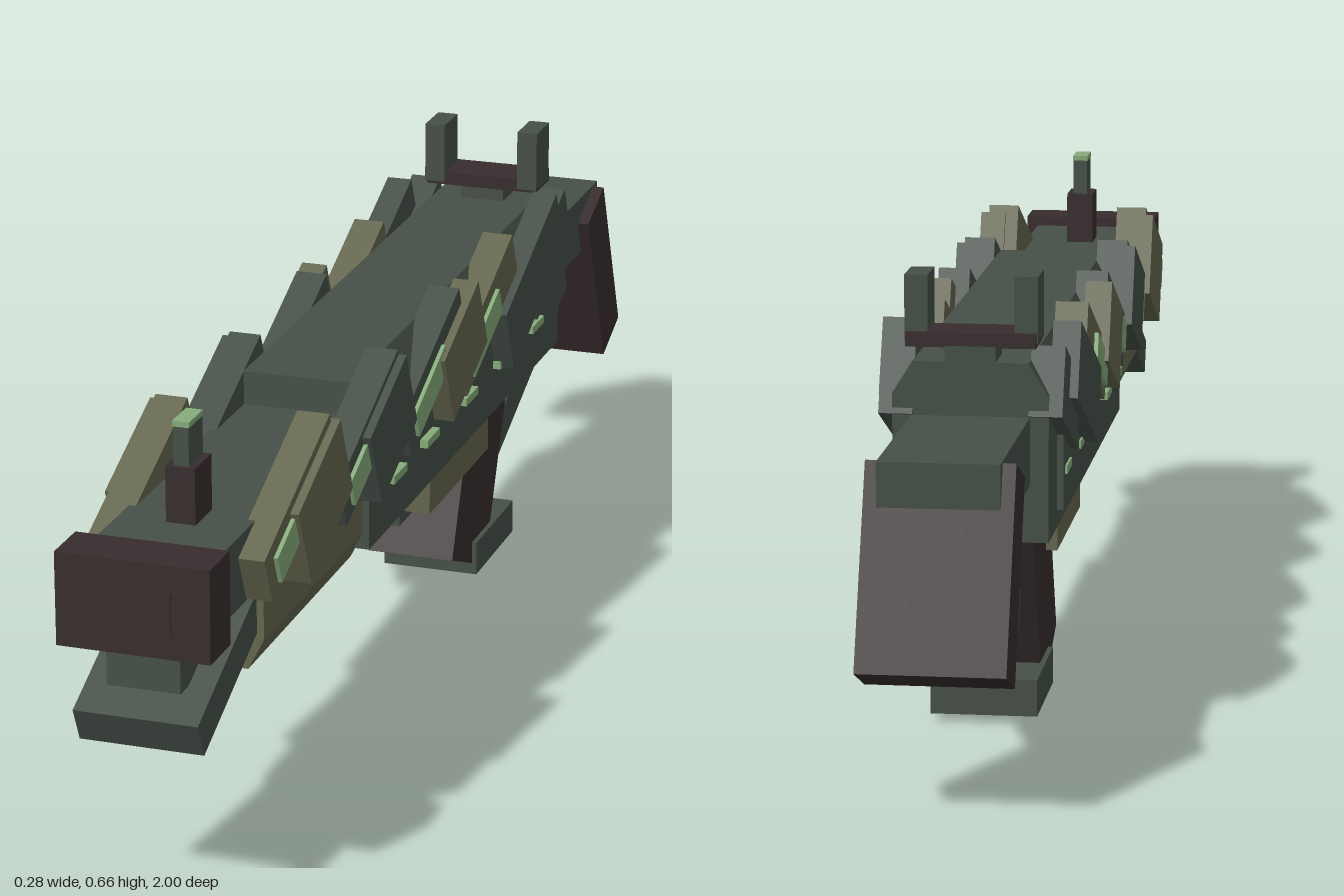
import * as THREE from 'three';

export function createModel() {
  const root = new THREE.Group();
  const mat = (name, color) => {
    const m = new THREE.MeshStandardMaterial({ color });
    m.name = name;
    return m;
  };
  const green = mat('darkGreen', 0x465048);
  const olive = mat('olive', 0x65674f);
  const dark = mat('darkBrown', 0x382d2e);
  const glow = mat('paleGreen', 0x86ac7a);

  const add = (name, geometry, material) => {
    const m = new THREE.Mesh(geometry, material);
    m.name = name;
    root.add(m);
    return m;
  };
  // Box from ranges
  const span = (name, material, x0, x1, y0, y1, z0, z1) => {
    const m = add(name, new THREE.BoxGeometry(x1 - x0, y1 - y0, z1 - z0), material);
    m.position.set((x0 + x1) / 2, (y0 + y1) / 2, (z0 + z1) / 2);
    return m;
  };
  const centred = (name, material, halfX, y0, y1, z0, z1) =>
    span(name, material, -halfX, halfX, y0, y1, z0, z1);
  // Box tilted about the x axis
  const tilted = (name, material, w, h, l, x, y, z, angle) => {
    const m = add(name, new THREE.BoxGeometry(w, h, l), material);
    m.position.set(x, y, z);
    m.rotation.x = angle;
    return m;
  };
  // Symmetric cross-section (right half, bottom to top) run along z
  const prism = (name, material, half, z0, z1) => {
    const pts = [...half, ...half.map(([x, y]) => [-x, y]).reverse()];
    const shape = new THREE.Shape(pts.map(([x, y]) => new THREE.Vector2(x, y)));
    const g = new THREE.ExtrudeGeometry(shape, { depth: z1 - z0, bevelEnabled: false });
    g.translate(0, 0, z0);
    return add(name, g, material);
  };

  // Main body and forward section
  prism('body', green, [[0.108, 0.305], [0.108, 0.51], [0.08, 0.555]], -0.6, 0.355);
  prism('foreEnd', olive, [[0.075, 0.285], [0.098, 0.33], [0.098, 0.415]], 0.34, 0.77);
  centred('upperFrame', green, 0.09, 0.405, 0.505, 0.34, 0.93);
  centred('frontCap', dark, 0.108, 0.388, 0.52, 0.925, 1);
  centred('frontCapPanel', dark, 0.054, 0.423, 0.483, 0.998, 1.002);
  centred('lowerRod', green, 0.052, 0.325, 0.378, 0.7, 0.965);
  tilted('frontSkid', green, 0.176, 0.055, 0.3, 0, 0.333, 0.85, 0.42);
  span('sidePlate', green, -0.117, -0.1, 0.33, 0.45, -0.5, -0.15);

  // Rear frame
  centred('rearBeam', green, 0.082, 0.385, 0.48, -0.915, -0.59);
  tilted('rearPad', dark, 0.2, 0.283, 0.097, 0, 0.328, -0.9, 0.39);
  tilted('rearStrut', green, 0.1, 0.056, 0.44, 0, 0.258, -0.655, 0.4);

  // Underside
  tilted('handle', dark, 0.137, 0.36, 0.187, 0, 0.213, -0.323, -0.4);
  centred('handleFoot', green, 0.076, 0.022, 0.075, -0.465, -0.27);
  centred('underBlock', olive, 0.085, 0.225, 0.32, -0.297, 0);
  centred('underRail', green, 0.025, 0.184, 0.226, -0.275, -0.037);

  // Front post
  centred('frontPostBase', dark, 0.021, 0.5, 0.585, 0.757, 0.82);
  centred('frontPost', green, 0.011, 0.585, 0.64, 0.762, 0.815);
  centred('frontPostTip', glow, 0.012, 0.64, 0.648, 0.762, 0.815);

  // Rear posts
  centred('rearPostBase', green, 0.035, 0.55, 0.577, -0.6, -0.53);
  centred('rearCrossbar', dark, 0.09, 0.575, 0.595, -0.6, -0.525);

  // Layered side scales: [front z, top y at front, length, height, material]
  const tilt = 0.41;
  const scale = (name, s, x0, x1, [z, y, l, h, material]) => {
    const c = Math.cos(tilt), n = Math.sin(tilt);
    return tilted(name, material, x1 - x0, h, l, s * (x0 + x1) / 2,
      y + l / 2 * n - h / 2 * c, z - l / 2 * c - h / 2 * n, tilt);
  };
  const inner = [
    [0.845, 0.476, 0.29, 0.075, olive],
    [0.54, 0.474, 0.28, 0.08, green],
    [0.25, 0.474, 0.28, 0.08, green],
    [-0.02, 0.474, 0.28, 0.08, olive],
    [-0.38, 0.494, 0.2, 0.1, green],
  ];
  const outer = [
    [0.743, 0.506, 0.19, 0.13, olive],
    [0.44, 0.508, 0.175, 0.125, green],
    [0.1, 0.508, 0.18, 0.12, olive],
    [-0.21, 0.478, 0.29, 0.11, green],
  ];
  for (const s of [-1, 1]) {
    inner.forEach((p, i) => {
      scale('innerScale', s, 0.08, 0.127, p);
      // Pale strip on the exposed front end
      if (i < 4) scale('paleStrip', s, 0.125, 0.133, [p[0] - 0.035, p[1] - 0.008, 0.15, 0.045, glow]);
    });
    outer.forEach((p) => scale('outerScale', s, 0.1, 0.139, p));
    // Small pale slots low on the body
    for (const z of [0.245, 0.09, -0.1, -0.275, -0.45]) {
      const slot = span('paleSlot', glow, 0.106, 0.12, 0.377, 0.389, z - 0.03, z + 0.03);
      slot.position.x *= s;
    }
    const post = span('rearPost', green, 0.06, 0.092, 0.58, 0.673, -0.59, -0.522);
    post.position.x *= s;
  }
  return root;
}
